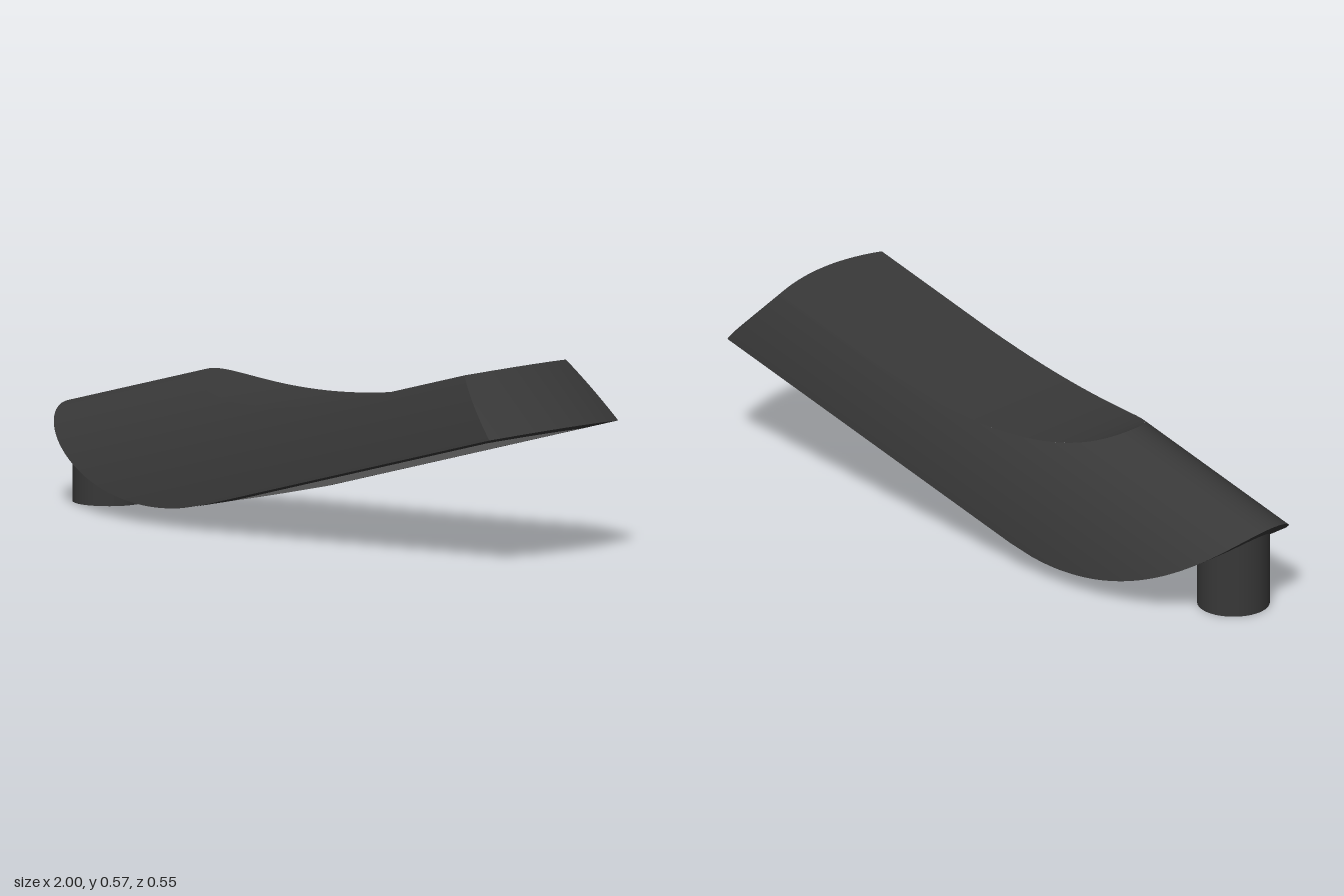
import * as THREE from 'three';

const H = 0.402;        // ridge height above the underside
const HT = 0.206;       // height of the flat upper deck
const R = 0.2912, B = 0.5825, C = -0.1804;  // ellipse of the arched cross-section

// Half-width of the arch at height h, and the angle on the arch at that height
const width = h => R * Math.sqrt(Math.max(0, 1 - ((h - C) / B) ** 2));
const angle = h => Math.asin(Math.min(1, (h - C) / B));

// Side profile: x runs along the tilted axis, y is height above the underside
const curve = pts => new THREE.CubicBezierCurve(...pts.map(p => new THREE.Vector2(...p)));
const belly = curve([[-1.963, H], [-1.818, 0.171], [-1.553, 0], [-1.242, 0]]);
const scoop = curve([[-1.383, H], [-1.249, 0.283], [-0.929, HT], [-0.566, HT]]);

// Sloping, gently bowed nose cut
const nose = (h, z) => -0.126 * h / HT - 0.052 * (z / 0.277) ** 2;

// Position along a falling curve where it reaches height h
function along(c, h) {
  let lo = 0, hi = 1;
  for (let i = 0; i < 40; i++) {
    const mid = (lo + hi) / 2;
    if (c.getPoint(mid).y > h) lo = mid; else hi = mid;
  }
  return c.getPoint(lo).x;
}

// Smooth grid surface from a rule f(a, b) -> [x, y, z]
function sheet(f, na = 48, nb = 48) {
  const pos = [], index = [];
  for (let i = 0; i <= na; i++)
    for (let j = 0; j <= nb; j++) pos.push(...f(i / na, j / nb));
  for (let i = 0; i < na; i++)
    for (let j = 0; j < nb; j++) {
      const p = i * (nb + 1) + j, q = p + nb + 1;
      index.push(p, q, p + 1, q, q + 1, p + 1);
    }
  const g = new THREE.BufferGeometry();
  g.setAttribute('position', new THREE.Float32BufferAttribute(pos, 3));
  g.setIndex(index);
  g.computeVertexNormals();
  return g;
}

// Surface swept straight across the body: a profile curve, then a flat run to the nose
const across = (c, hFlat, side) => sheet((a, b) => {
  const k = side * (1 - 2 * b);
  const p = c.getPoint(Math.min(1, a / 0.75) ** 2);
  if (a <= 0.75) return [p.x, p.y, k * width(p.y)];
  const z = k * width(hFlat);
  return [THREE.MathUtils.lerp(p.x, nose(hFlat, z), (a - 0.75) / 0.25), hFlat, z];
}, 64, 32);

// Part of the arched shell between two angles, ending where endAt(h, z) says
const shell = (from, to, endAt) => sheet((a, b) => {
  const t = THREE.MathUtils.lerp(from, to, b);
  const h = C + B * Math.sin(t), z = R * Math.cos(t);
  return [THREE.MathUtils.lerp(along(belly, h), endAt(h, z), a), h, z];
});

export function createModel() {
  const model = new THREE.Group();
  const housing = new THREE.MeshStandardMaterial({ color: 0x383838 });
  housing.name = 'charcoal housing';
  const diffuser = new THREE.MeshStandardMaterial({ color: 0xb4b4b4 });
  diffuser.name = 'light grey diffuser';

  const add = (parent, name, geometry, material) => {
    const mesh = new THREE.Mesh(geometry, material);
    mesh.name = name;
    parent.add(mesh);
    return mesh;
  };

  // Lamp head, tilted upward toward the nose
  const head = new THREE.Group();
  head.name = 'lampHead';
  head.position.set(1, 0.405, 0);
  head.rotation.z = Math.atan(0.268);
  model.add(head);

  const t0 = angle(0), t1 = angle(HT);
  add(head, 'leftSide', shell(t0, t1, nose), housing);
  add(head, 'rightSide', shell(Math.PI - t1, Math.PI - t0, nose), housing);
  add(head, 'rearCrown', shell(t1, Math.PI - t1, h => along(scoop, h)), housing);
  add(head, 'upperDeck', across(scoop, HT, 1), housing);
  add(head, 'underside', across(belly, 0, -1), housing);
  add(head, 'noseFace', sheet((a, b) => {
    const h = a * HT, z = (2 * b - 1) * width(h);
    return [nose(h, z), h, z];
  }), housing);

  // Light panel with bowed ends, just proud of the underside
  add(head, 'lightPanel', sheet((a, b) => {
    const k = 2 * b - 1;
    const x = THREE.MathUtils.lerp(-1.225 + 0.027 * k * k, -0.104 - 0.03 * k * k, a);
    return [x, -0.003, 0.202 * k];
  }, 4, 32), diffuser);

  // Mounting socket under the tail
  add(model, 'mountingSocket', new THREE.CylinderGeometry(0.107, 0.107, 0.255, 48), housing)
    .position.set(-0.843, 0.1275, 0);

  return model;
}
